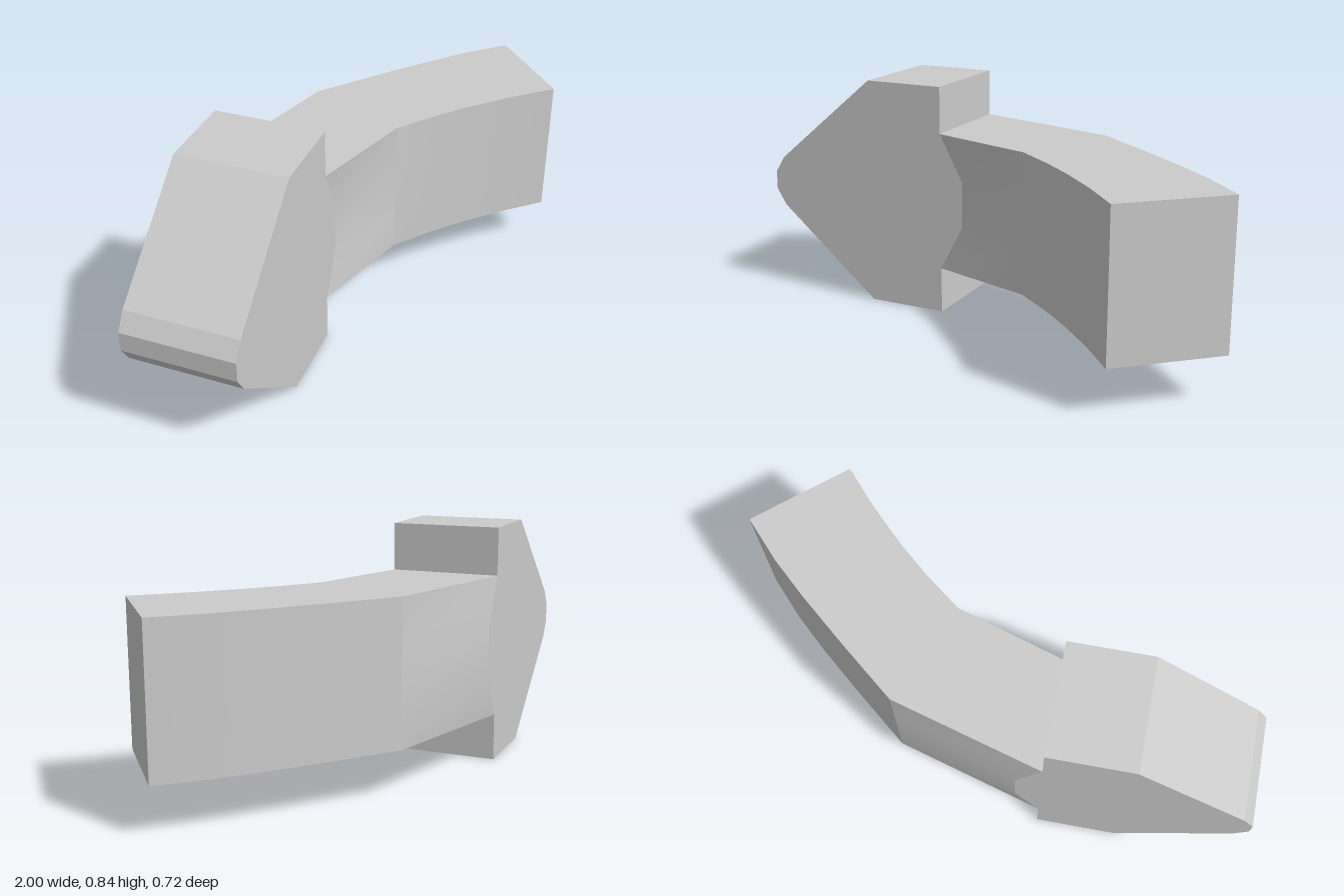
import * as THREE from 'three';
import { toCreasedNormals } from 'three/addons/utils/BufferGeometryUtils.js';

const material = new THREE.MeshStandardMaterial({ color: 0xcccccc });

// Slab direction of the head (per unit of x) and its thickness vector
const along = new THREE.Vector3(1, 0, -0.435);
const thick = new THREE.Vector3(0.152, 0, 0.36);
const headPoint = (s, d) => [-1 + s * along.x + d * thick.x, s * along.z + d * thick.z];

// Arrow outline, upper half mirrored about MID; last two points form the root tongue
const MID = 0.421;
const upper = [[0, 0.035], [0.035, 0.095], [0.39, 0.421], [0.66, 0.421], [0.66, 0.252], [0.74, 0.085]];

function arrowHead() {
  const outline = [
    ...upper.map(([s, h]) => new THREE.Vector2(s, MID + h)),
    ...upper.map(([s, h]) => new THREE.Vector2(s, MID - h)).reverse(),
  ];
  const geo = new THREE.ExtrudeGeometry(new THREE.Shape(outline), { depth: 1, bevelEnabled: false });
  const basis = new THREE.Matrix4().makeBasis(along, new THREE.Vector3(0, 1, 0), thick);
  basis.setPosition(-1, 0, 0);
  geo.applyMatrix4(basis);
  const mesh = new THREE.Mesh(geo, material);
  mesh.name = 'arrowHead';
  return mesh;
}

function curvedShaft() {
  // Plan of the bend: [front x, front z, back x, back z]
  const stations = [
    [0.21, 0.03, 0.21, -0.362],
    [0.375, 0.073, 0.46, -0.292],
    [0.51, 0.117, 0.67, -0.229],
    [0.67, 0.18, 0.83, -0.174],
    [0.83, 0.255, 1, -0.1],
  ];
  const levels = [-0.252, -0.085, 0.085, 0.252].map((h) => MID + h);
  const verts = [];
  const addRing = (plan) => {
    levels.forEach((y, k) => verts.push(plan(k)[0], y, plan(k)[1]));
    for (let k = 3; k >= 0; k--) verts.push(plan(k)[2], levels[k], plan(k)[3]);
  };
  // First ring follows the tongue of the head
  addRing((k) => {
    const s = k === 0 || k === 3 ? 0.66 : 0.74;
    return [...headPoint(s, 1), ...headPoint(s, 0)];
  });
  stations.forEach((st) => addRing(() => st));

  const index = [];
  const quad = (a, b, c, d) => index.push(a, b, c, a, c, d);
  for (let i = 0; i < stations.length; i++) {
    for (let j = 0; j < 8; j++) {
      const n = (j + 1) % 8;
      quad(i * 8 + j, i * 8 + 8 + j, i * 8 + 8 + n, i * 8 + n);
    }
  }
  // Flat end
  const e = stations.length * 8;
  for (let k = 0; k < 3; k++) quad(e + k, e + 7 - k, e + 6 - k, e + k + 1);

  const geo = new THREE.BufferGeometry();
  geo.setAttribute('position', new THREE.Float32BufferAttribute(verts, 3));
  geo.setIndex(index);
  const mesh = new THREE.Mesh(toCreasedNormals(geo, 0.3), material);
  mesh.name = 'curvedShaft';
  return mesh;
}

export function createModel() {
  const group = new THREE.Group();
  group.name = 'bentArrow';
  group.add(arrowHead(), curvedShaft());
  return group;
}
